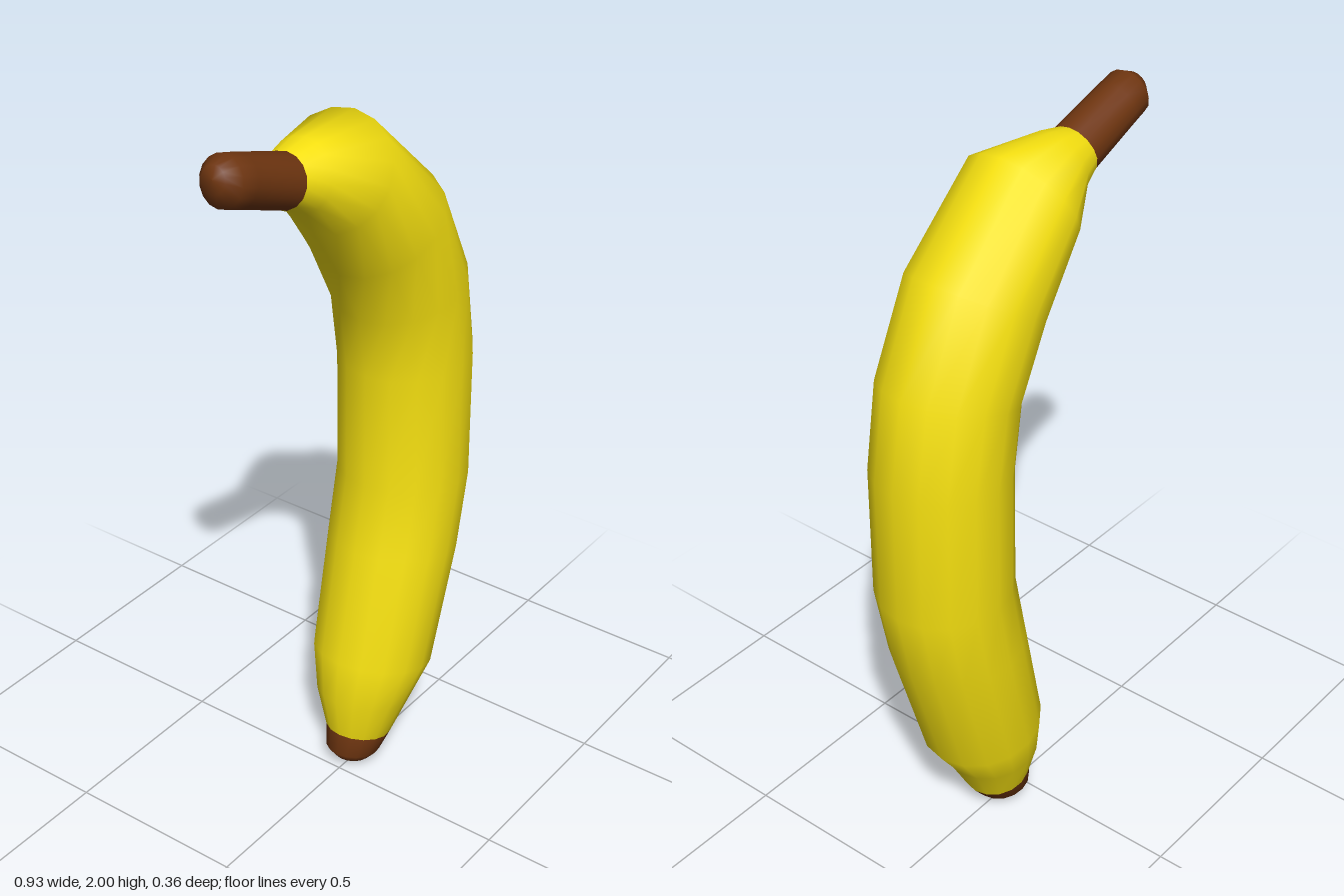
import * as THREE from 'three';

const SIDES = 16;

// Skin through oval rings: [inner x, inner y, outer x, outer y, half depth in z]
function loft(name, rings, color) {
  const positions = [], index = [];
  rings.forEach(([ix, iy, ox, oy, depth], i) => {
    for (let j = 0; j < SIDES; j++) {
      const a = (j / SIDES) * Math.PI * 2;
      const t = (1 + Math.cos(a)) / 2;
      positions.push(ix + (ox - ix) * t, iy + (oy - iy) * t, depth * Math.sin(a));
      if (i === rings.length - 1) continue;
      const k = (j + 1) % SIDES, low = i * SIDES, high = low + SIDES;
      index.push(low + j, high + j, low + k, low + k, high + j, high + k);
    }
  });
  const geometry = new THREE.BufferGeometry();
  geometry.setAttribute('position', new THREE.Float32BufferAttribute(positions, 3));
  geometry.setIndex(index);
  geometry.computeVertexNormals();
  const mesh = new THREE.Mesh(geometry, new THREE.MeshStandardMaterial({ color }));
  mesh.name = name;
  return mesh;
}

export function createModel() {
  const yellow = 0xf5e010, brown = 0x6e3510;
  const group = new THREE.Group();
  group.name = 'banana';

  // Rings where the peel meets the dark ends
  const lowerSeam = [0, 0.12, 0.18, 0.08, 0.09];
  const upperSeam = [-0.235, 1.8, -0.197, 1.93, 0.07];

  // Curved peel, from bottom to neck
  group.add(loft('peel', [
    lowerSeam,
    [-0.015, 0.24, 0.24, 0.19, 0.13],
    [-0.005, 0.37, 0.315, 0.295, 0.165],
    [0.068, 0.69, 0.42, 0.64, 0.177],
    [0.11, 0.88, 0.465, 0.86, 0.178],
    [0.11, 1.21, 0.465, 1.23, 0.178],
    [0.085, 1.38, 0.425, 1.475, 0.178],
    [0, 1.54, 0.305, 1.725, 0.177],
    [-0.1, 1.69, 0.06, 1.95, 0.16],
    [-0.175, 1.77, -0.13, 1.943, 0.092],
    upperSeam,
  ], yellow));

  // Rounded dark tip at the bottom
  group.add(loft('bottomTip', [
    [0.068, 0.002, 0.068, 0.002, 0],
    [0.01, 0.028, 0.115, 0.012, 0.05],
    [-0.012, 0.06, 0.143, 0.035, 0.074],
    lowerSeam,
  ], brown));

  // Stem with a softly rounded end
  group.add(loft('stem', [
    upperSeam,
    [-0.397, 1.862, -0.36, 1.984, 0.064],
    [-0.446, 1.88, -0.413, 2, 0.062],
    [-0.466, 1.92, -0.449, 1.985, 0.034],
    [-0.461, 1.954, -0.461, 1.954, 0],
  ], brown));

  return group;
}
